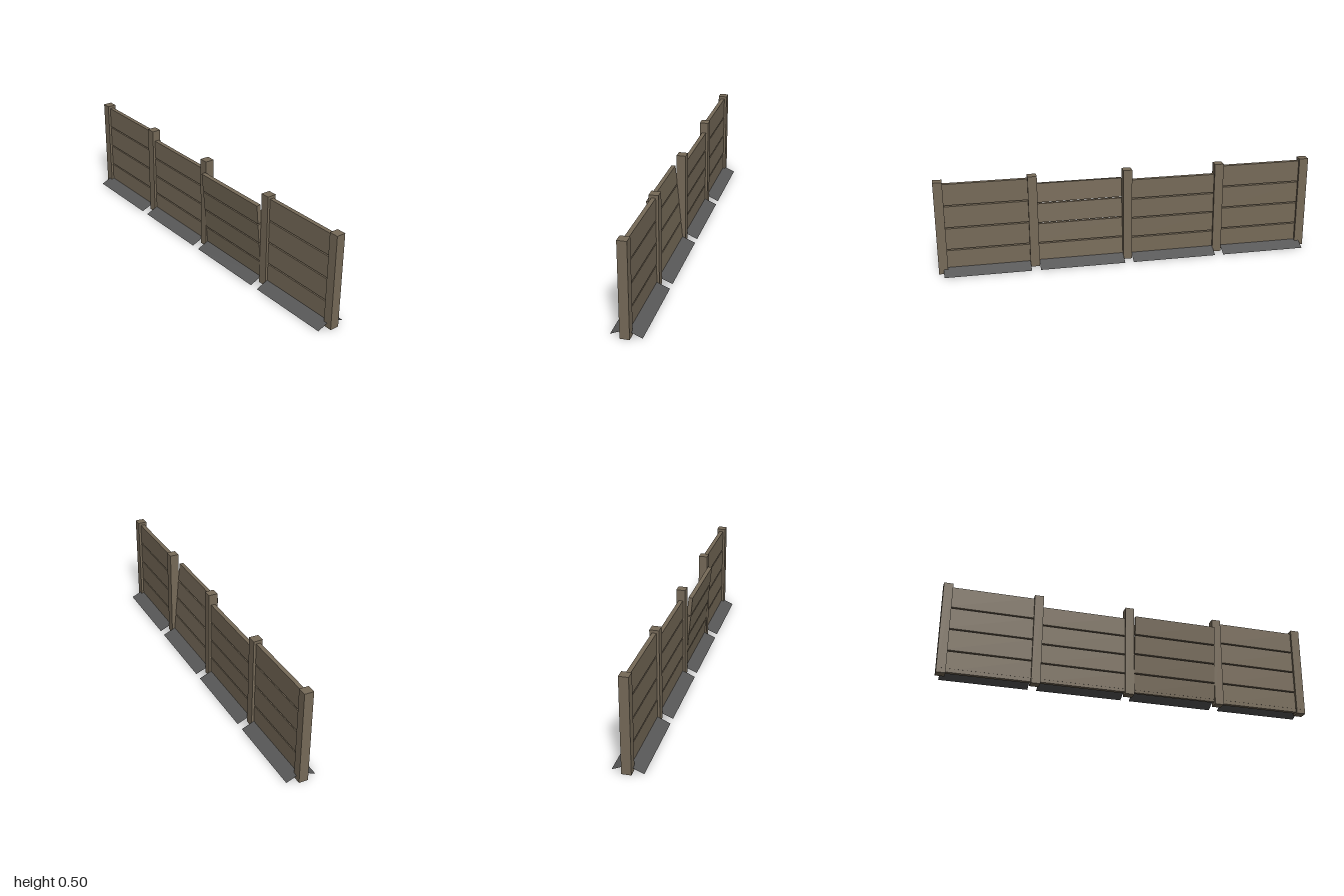
import * as THREE from 'three';

export function createModel() {
  const fence = new THREE.Group();
  fence.name = 'fence';

  const wood = new THREE.MeshStandardMaterial({ color: 0x766a58 });
  wood.name = 'weathered wood';
  const grey = new THREE.MeshStandardMaterial({ color: 0x585858, side: THREE.DoubleSide });
  grey.name = 'grey ground skirt';

  const box = (name, w, h, d, x, y, z, parent) => {
    const mesh = new THREE.Mesh(new THREE.BoxGeometry(w, h, d), wood);
    mesh.name = name;
    mesh.position.set(x, y, z);
    parent.add(mesh);
  };

  // Five square posts
  for (const x of [-0.976, -0.5, -0.002, 0.498, 0.976]) {
    box('post', 0.048, 0.502, 0.048, x, 0.251, 0, fence);
  }

  // Four bays of horizontal planks; the third one leans forward
  const bays = [
    { x: -0.75, top: 0.487, pitch: 0.121, lean: 0 },
    { x: -0.251, top: 0.443, pitch: 0.109, lean: 0 },
    { x: 0.248, top: 0.445, pitch: 0.109, lean: 0.093 },
    { x: 0.748, top: 0.487, pitch: 0.121, lean: 0 },
  ];
  const gap = 0.007;
  for (const { x, top, pitch, lean } of bays) {
    const panel = new THREE.Group();
    panel.name = 'plankPanel';
    panel.position.x = x;
    panel.rotation.x = lean;
    for (let i = 0; i < 4; i++) {
      const h = pitch - gap;
      box('plank', 0.453, h, 0.022, 0, top - i * pitch - h / 2, 0, panel);
    }
    fence.add(panel);

    // Thin sloping sheets along the foot, front and back
    for (const side of [1, -1]) {
      const run = 0.07, rise = 0.03;
      const skirt = new THREE.Mesh(new THREE.PlaneGeometry(0.453, Math.hypot(run, rise)), grey);
      skirt.name = side > 0 ? 'frontSkirt' : 'backSkirt';
      skirt.rotation.order = 'YXZ';
      skirt.rotation.set(-Math.atan2(run, rise), side > 0 ? 0 : Math.PI, 0);
      skirt.position.set(x, rise / 2 + 0.001, side * (0.008 + run / 2));
      fence.add(skirt);
    }
  }

  return fence;
}
